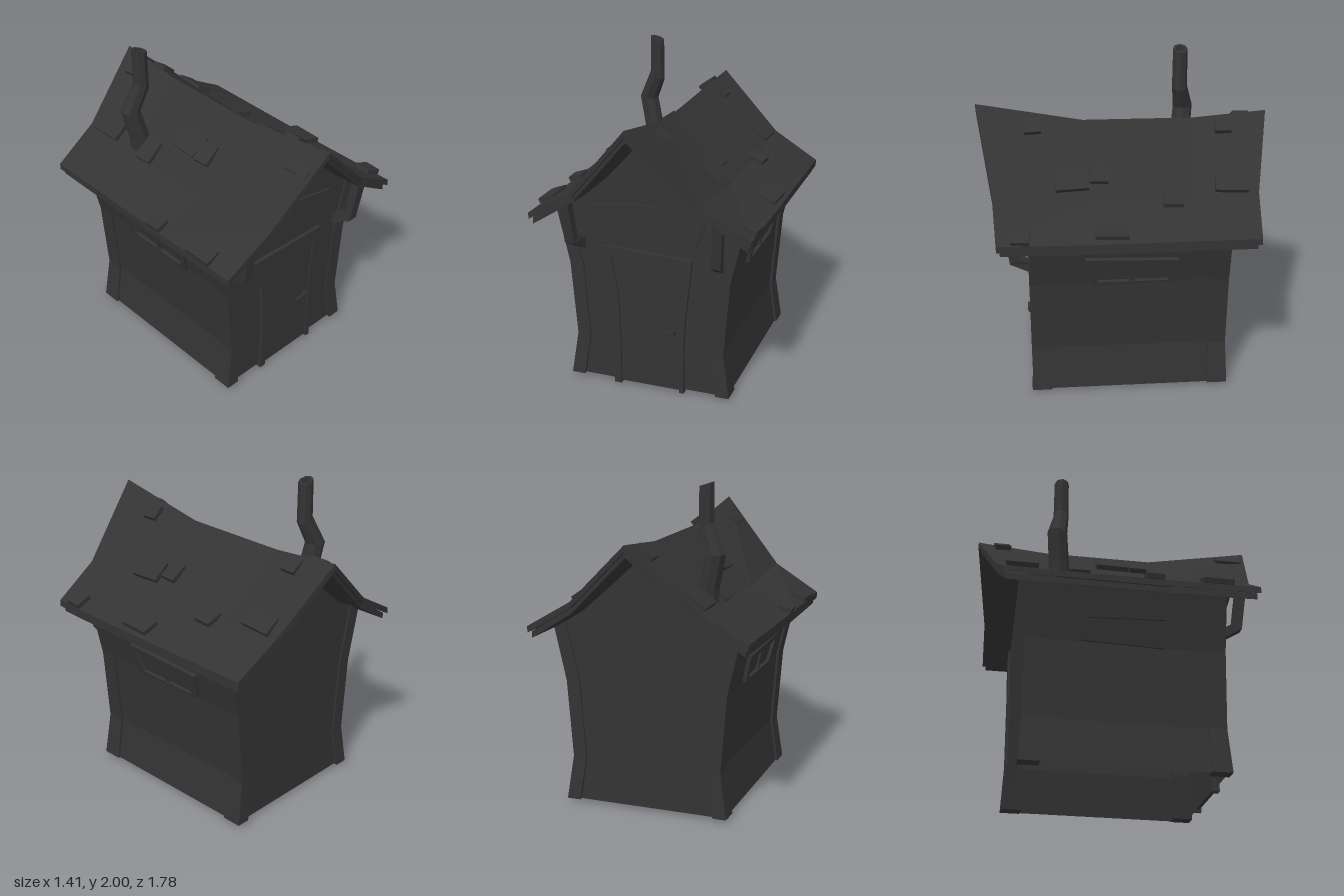
import * as THREE from 'three';

const material = new THREE.MeshStandardMaterial({ color: 0x333333, flatShading: true, side: THREE.DoubleSide });

function mesh(name, geometry) {
  const m = new THREE.Mesh(geometry, material);
  m.name = name;
  return m;
}

// Skins a list of equal rings of [x, y, z] points; the faces are turned outwards.
function loft(rings, caps = true) {
  const n = rings[0].length, tris = [];
  const quad = (a, b, c, d) => tris.push([a, b, c], [a, c, d]);
  for (let r = 0; r + 1 < rings.length; r++) {
    for (let i = 0; i < n; i++) {
      const j = (i + 1) % n;
      quad(rings[r][i], rings[r][j], rings[r + 1][j], rings[r + 1][i]);
    }
  }
  if (caps) {
    const first = rings[0], last = rings[rings.length - 1];
    for (let i = 0; i < n / 2 - 1; i++) {
      quad(first[n - 1 - i], first[n - 2 - i], first[i + 1], first[i]);
      quad(last[i], last[i + 1], last[n - 2 - i], last[n - 1 - i]);
    }
  }
  const v = (p) => new THREE.Vector3(...p);
  const mid = v(rings[0][0]);
  let volume = 0;
  for (const [a, b, c] of tris) volume += v(a).sub(mid).dot(v(b).sub(mid).cross(v(c).sub(mid)));
  if (volume < 0) tris.forEach((t) => t.reverse());
  const g = new THREE.BufferGeometry();
  g.setAttribute('position', new THREE.Float32BufferAttribute(tris.flat(2), 3));
  g.computeVertexNormals();
  return g;
}

// Flat plate from an outline, with an optional hole, lying between z0 and z1.
function plate(points, z0, z1, hole) {
  const vec = (list) => list.map(([x, y]) => new THREE.Vector2(x, y));
  const shape = new THREE.Shape(vec(points));
  if (hole) shape.holes.push(new THREE.Path(vec(hole)));
  return new THREE.ExtrudeGeometry(shape, { depth: z1 - z0, bevelEnabled: false }).translate(0, 0, z0);
}

// Wall half-width by height, and the front and back wall planes
const LEVELS = [[0.02, 0.505], [0.3, 0.463], [0.78, 0.5], [1.16, 0.587]];
const FRONT = 0.58, BACK = -0.61;

// Roof stations along its length: s, ridge x, then ridge, break and eave heights
const STATIONS = [
  [-1, 0.01, 1.68, 1.31, 1.14],
  [-0.5, 0, 1.64, 1.28, 1.14],
  [0.27, 0, 1.645, 1.28, 1.14],
  [1, -0.02, 1.76, 1.325, 1.15],
];
const BREAK = 0.4, EAVE = 0.69;

function roofLayer(name, drop, thick, inset) {
  return mesh(name, loft(STATIONS.map(([s, rx, ridge, brk, eave]) => {
    const e = EAVE - inset;
    const top = [[-e, eave, 0.78], [-BREAK, brk, 0.8], [rx, ridge, 0.89], [BREAK, brk, 0.8], [e, eave, 0.78]]
      .map(([x, y, z]) => [x, y - drop, s * (z - inset)]);
    const bottom = top.map(([x, y, z]) => [x, y - thick, z]).reverse();
    return [...top, ...bottom];
  })));
}

function roofHeight(x, z) {
  const a = Math.abs(x);
  const s = THREE.MathUtils.clamp(z / (a < BREAK ? 0.89 - 0.225 * a : 0.79), -1, 1);
  let k = 0;
  while (k < 2 && s > STATIONS[k + 1][0]) k++;
  const A = STATIONS[k], B = STATIONS[k + 1], t = (s - A[0]) / (B[0] - A[0]);
  const [ridge, brk, eave] = [2, 3, 4].map((i) => A[i] + (B[i] - A[i]) * t);
  return a < BREAK ? ridge + (brk - ridge) * a / BREAK : brk + (eave - brk) * (a - BREAK) / (EAVE - BREAK);
}

// Loose shingles: x, z, width down the slope, length along the ridge, turn
const SHINGLES = [
  [-0.36, -0.64, 0.1, 0.2, 0.03], [-0.07, -0.74, 0.08, 0.1, 0.06], [0.07, -0.62, 0.07, 0.1, -0.03],
  [0.355, -0.64, 0.09, 0.2, -0.06], [0.415, -0.28, 0.11, 0.12, -0.06], [-0.355, -0.285, 0.11, 0.12, 0.06],
  [-0.22, -0.05, 0.11, 0.2, -0.06], [-0.23, 0.105, 0.1, 0.11, 0.06], [-0.655, 0.13, 0.08, 0.11, 0.05],
  [-0.65, 0.52, 0.09, 0.19, 0], [-0.12, 0.75, 0.05, 0.17, 0.06], [0.075, 0.55, 0.07, 0.1, 0.05],
  [0.28, 0.155, 0.09, 0.11, -0.06], [0.315, 0.325, 0.1, 0.2, 0.05], [0.62, 0.1, 0.1, 0.2, -0.04],
  [0.65, 0.64, 0.09, 0.11, -0.06],
];

function shingles() {
  const g = new THREE.Group();
  g.name = 'shingles';
  for (const [x, z, w, l, turn] of SHINGLES) {
    const slope = Math.atan((roofHeight(x + 0.01, z) - roofHeight(x - 0.01, z)) / 0.02);
    const m = mesh('shingle', new THREE.BoxGeometry(w / Math.cos(slope), 0.03, l).rotateY(turn));
    m.position.set(x, roofHeight(x, z) + 0.016, z);
    m.rotation.z = slope + Math.sign(x) * 0.12; // lower edge lifts off the roof
    g.add(m);
  }
  return g;
}

// Side window, leaning outwards with the wall
function sideWindow(side) {
  const g = new THREE.Group();
  g.name = side > 0 ? 'leftWindow' : 'rightWindow';
  const flip = (list) => list.map(([u, v]) => [u * side, v]);
  const outer = flip([[-0.26, 0.105], [0.305, 0.085], [0.29, -0.09], [-0.22, -0.105]]);
  const inner = flip([[-0.225, 0.07], [0.26, 0.05], [0.24, -0.075], [-0.185, -0.075]]);
  g.add(mesh('windowFrame', plate(outer, -0.02, 0.025, inner)));
  g.add(mesh('windowPane', plate(inner, -0.015, 0.004)));
  g.add(mesh('windowBar', plate(flip([[0.0, 0.062], [0.035, 0.06], [0.045, -0.075], [0.01, -0.075]]), 0, 0.018)));
  g.position.set(side * 0.522, 0.875, 0);
  g.rotation.set(0.226, side * Math.PI / 2, 0, 'YXZ');
  return g;
}

// Curved corner post following the wall profile
function cornerPost(sx, sz) {
  const wall = sz > 0 ? FRONT : -BACK;
  return mesh('cornerPost', loft(LEVELS.map(([y, w], i) => {
    const x0 = w - 0.07, x1 = w + 0.015, z0 = wall - 0.1, z1 = wall + (i ? 0.012 : 0.025);
    return [[x0, z0], [x1, z0], [x1, z1], [x0, z1]].map(([x, z]) => [sx * x, y, sz * z]);
  })));
}

// Bent strut carrying the front overhang
function bracket(side, dy) {
  const profile = [[1.2, 0.745, 1.2, 0.685], [0.92, 0.71, 0.95, 0.655], [0.84, 0.57, 0.91, 0.57]];
  return mesh('bracket', loft(profile.map(([y0, z0, y1, z1], i) => {
    const x = side * (0.48 - 0.02 * i), h = 0.03;
    return [[x - h, y0 + dy, z0], [x + h, y0 + dy, z0], [x + h, y1 + dy, z1], [x - h, y1 + dy, z1]];
  })));
}

// Crooked stove pipe with a hollow top: x, y, z, radius, tilt
function chimney() {
  const path = [
    [-0.32, 1.25, -0.4, 0.062, 0], [-0.33, 1.38, -0.405, 0.064, 0], [-0.375, 1.58, -0.425, 0.062, 0],
    [-0.305, 1.74, -0.395, 0.048, 0.025], [-0.305, 1.985, -0.395, 0.046, 0.015],
    [-0.305, 1.985, -0.395, 0.03, 0.01], [-0.305, 1.85, -0.395, 0.03, 0],
  ];
  return mesh('chimney', loft(path.map(([x, y, z, r, tilt]) => Array.from({ length: 8 }, (_, i) => {
    const a = i / 8 * Math.PI * 2;
    return [x + r * Math.cos(a), y - tilt * Math.cos(a), z + r * Math.sin(a)];
  }))));
}

export function createModel() {
  const hut = new THREE.Group();
  hut.name = 'hut';

  // Bowed walls, open below, with a gable at each end
  hut.add(mesh('walls', loft(LEVELS.map(([y, w]) => [[-w, y, FRONT], [w, y, FRONT], [w, y, BACK], [-w, y, BACK]]), false)));
  for (const [name, z, peak] of [['frontGable', FRONT, 1.65], ['backGable', BACK, 1.6]]) {
    const shape = new THREE.Shape([[-0.587, 1.16], [0.587, 1.16], [0.39, 1.25], [0, peak], [-0.39, 1.25]]
      .map(([x, y]) => new THREE.Vector2(x, y)));
    const gable = mesh(name, new THREE.ShapeGeometry(shape));
    gable.position.z = z;
    if (z < 0) gable.rotation.y = Math.PI;
    hut.add(gable);
  }
  for (const sx of [-1, 1]) {
    for (const sz of [-1, 1]) hut.add(cornerPost(sx, sz));
    hut.add(sideWindow(sx), bracket(sx, sx < 0 ? 0.04 : 0));
  }

  // Crooked door, its frame and handle
  const opening = [[-0.185, 0], [-0.185, 0.3], [-0.195, 0.6], [-0.24, 0.87], [0.23, 0.845], [0.205, 0.6], [0.195, 0.3], [0.2, 0]];
  const frame = [[-0.23, 0], [-0.215, 0.3], [-0.235, 0.69], [-0.295, 0.925], [0.28, 0.9], [0.237, 0.5], [0.227, 0.3], [0.227, 0]];
  hut.add(mesh('doorFrame', plate([...frame, ...opening.slice().reverse()], 0.565, 0.604)));
  hut.add(mesh('door', plate(opening.map(([x, y]) => [x, Math.max(y, 0.015)]), 0.57, 0.592)));
  const handle = mesh('doorHandle', new THREE.BoxGeometry(0.085, 0.018, 0.015));
  handle.position.set(0.125, 0.405, 0.612);
  const knob = mesh('handleStem', new THREE.BoxGeometry(0.025, 0.035, 0.03));
  knob.position.set(0.16, 0.405, 0.6);
  hut.add(handle, knob);

  // Blank board over the door
  hut.add(mesh('board', plate(
    [[-0.36, 1.18], [-0.31, 0.97], [0.03, 1.0], [0.3, 0.975], [0.36, 1.15], [0.08, 1.21], [-0.09, 1.215]], 0.57, 0.595)));

  // Two-layer sagging roof
  hut.add(roofLayer('roof', 0, 0.04, 0), roofLayer('roofLining', 0.035, 0.04, 0.02));
  hut.add(shingles(), chimney());
  return hut;
}
